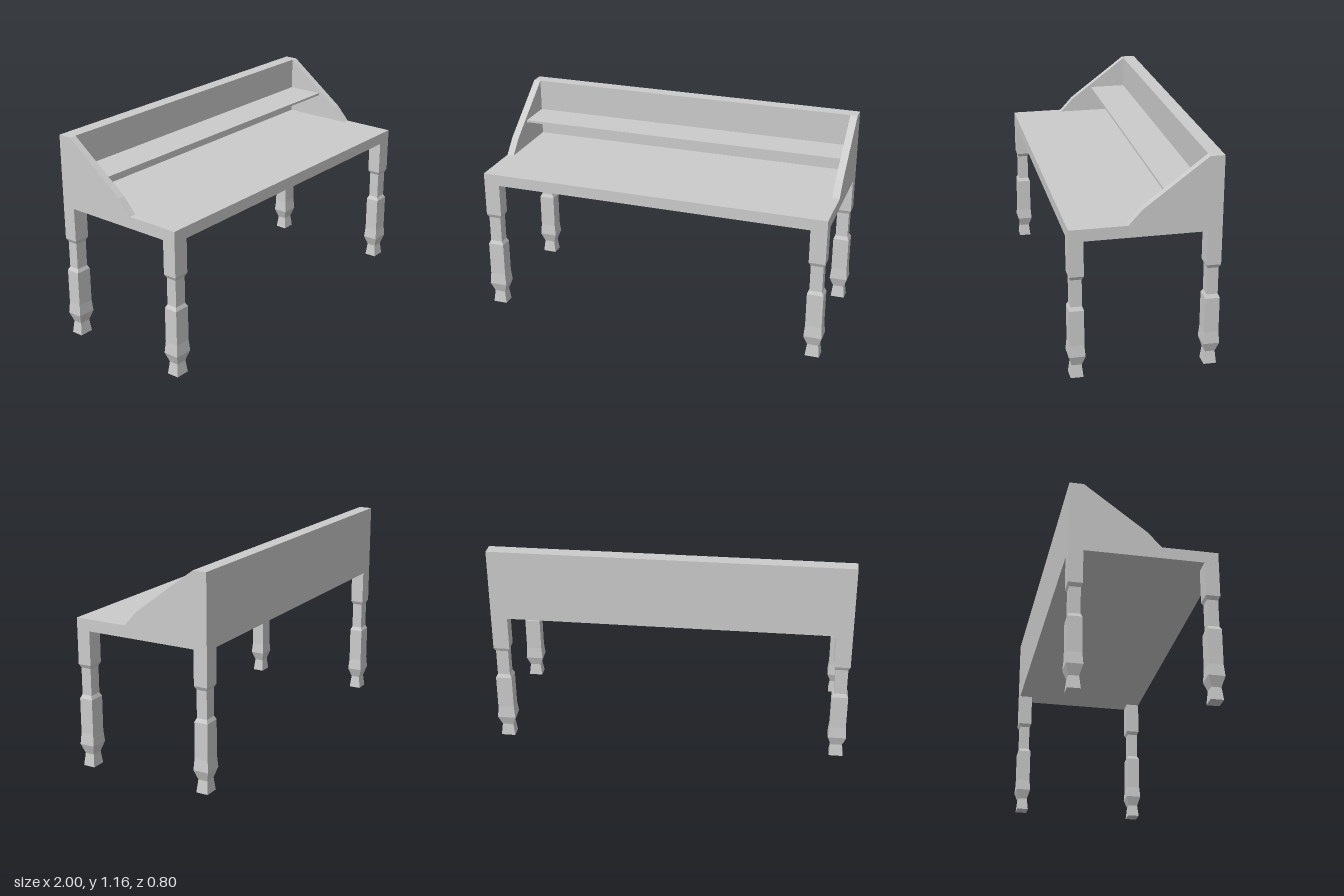
import * as THREE from 'three';

const material = new THREE.MeshStandardMaterial({ color: 0xcccccc, flatShading: true });

export function createModel() {
  const desk = new THREE.Group();
  desk.name = 'writingDesk';

  const add = (name, geometry) => {
    const mesh = new THREE.Mesh(geometry, material);
    mesh.name = name;
    desk.add(mesh);
    return mesh;
  };

  // Box given by its lower and upper corners
  const addBox = (name, [x0, y0, z0], [x1, y1, z1]) =>
    add(name, new THREE.BoxGeometry(x1 - x0, y1 - y0, z1 - z0))
      .position.set((x0 + x1) / 2, (y0 + y1) / 2, (z0 + z1) / 2);

  const W = 0.994, D = 0.395, INNER = 0.953;
  const TOP = 0.83, UNDER = 0.765, HIGH = 1.165;

  // Table top, back panel and the shelf between the sides
  addBox('tableTop', [-W, UNDER, -D], [W, TOP, D]);
  addBox('backPanel', [-W, TOP, -D], [W, HIGH, -0.318]);
  addBox('shelf', [-INNER, 0.97, -0.318], [INNER, 0.983, -0.105]);

  // Sloping side panels, outlined in z and y and extruded along x
  const outline = new THREE.Shape([
    [0.318, TOP], [0.318, HIGH], [-0.018, 0.912], [-0.093, TOP],
  ].map(([z, y]) => new THREE.Vector2(z, y)));
  const sideGeometry = new THREE.ExtrudeGeometry(outline, { depth: W - INNER, bevelEnabled: false });
  sideGeometry.rotateY(Math.PI / 2);
  add('leftSidePanel', sideGeometry).position.x = INNER;
  add('rightSidePanel', sideGeometry).position.x = -W;

  // Shaped four-sided legs: half depth and height, from foot to table
  const profile = [
    [0, 0], [0.034, 0], [0.0265, 0.07], [0.0435, 0.125], [0.0385, 0.19],
    [0.0385, 0.385], [0.0295, 0.405], [0.0295, 0.555], [0.0385, 0.575], [0.0385, UNDER],
  ].map(([r, y]) => new THREE.Vector2(r * Math.SQRT2, y));
  const legGeometry = new THREE.LatheGeometry(profile, 4, Math.PI / 4);
  legGeometry.scale(1.18, 1, 1);
  for (const [side, sx] of [['Left', 1], ['Right', -1]]) {
    for (const [end, sz] of [['front', 1], ['back', -1]]) {
      add(`${end}${side}Leg`, legGeometry).position.set(sx * 0.9485, 0, sz * 0.3565);
    }
  }

  return desk;
}
